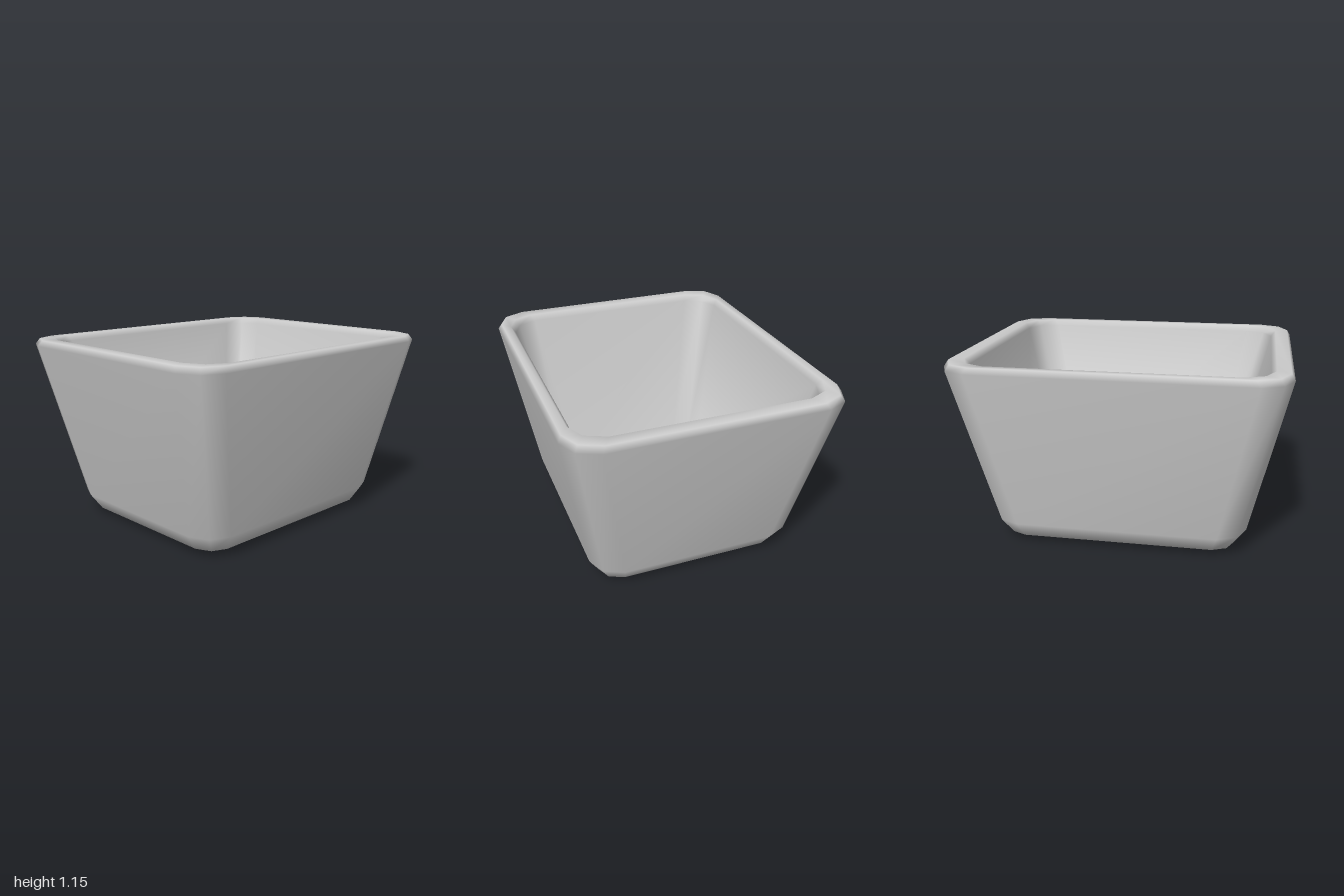
import * as THREE from 'three';

// Rounded rectangle with three points per corner, counterclockwise from above.
function ring(y, hx, hz, cut) {
  const corner = [[hx, hz - cut], [hx - cut * 0.32, hz - cut * 0.3], [hx - cut, hz]];
  const points = [];
  [[1, -1], [-1, -1], [-1, 1], [1, 1]].forEach(([sx, sz], i) => {
    const ordered = i % 2 ? [...corner].reverse() : corner;
    for (const [x, z] of ordered) points.push(sx * x, y, sz * z);
  });
  return points;
}

export function createModel() {
  // Cross-sections: height, half width, half depth, corner cut
  const sections = [
    [0, 0.58, 0.48, 0.04],       // underside
    [0.04, 0.71, 0.59, 0.13],    // rounded foot
    [0.14, 0.78, 0.65, 0.17],
    [1.12, 1.0, 0.83, 0.18],     // outer rim
    [1.155, 0.98, 0.81, 0.18],
    [1.155, 0.90, 0.76, 0.175],  // inner rim
    [1.12, 0.872, 0.735, 0.17],
    [0.12, 0.62, 0.53, 0.14],    // inside floor
  ];
  const n = 12;
  const positions = sections.flatMap((s) => ring(...s));
  const index = [];

  // Walls and rim
  for (let r = 0; r < sections.length - 1; r++) {
    for (let i = 0; i < n; i++) {
      const j = (i + 1) % n;
      const a = r * n + i, b = r * n + j, c = b + n, d = a + n;
      index.push(a, b, c, a, c, d);
    }
  }
  // Underside and inside floor, each a fan from one corner point
  const last = (sections.length - 1) * n;
  for (let k = 1; k < n - 1; k++) {
    const p = (3 + k) % n, q = (4 + k) % n;
    index.push(3, q, p);
    index.push(last + 3, last + p, last + q);
  }

  const geometry = new THREE.BufferGeometry();
  geometry.setAttribute('position', new THREE.Float32BufferAttribute(positions, 3));
  geometry.setIndex(index);
  geometry.computeVertexNormals();

  const pot = new THREE.Mesh(geometry, new THREE.MeshStandardMaterial({ color: 0xcccccc }));
  pot.name = 'pot';
  const group = new THREE.Group();
  group.name = 'planter';
  group.add(pot);
  return group;
}
